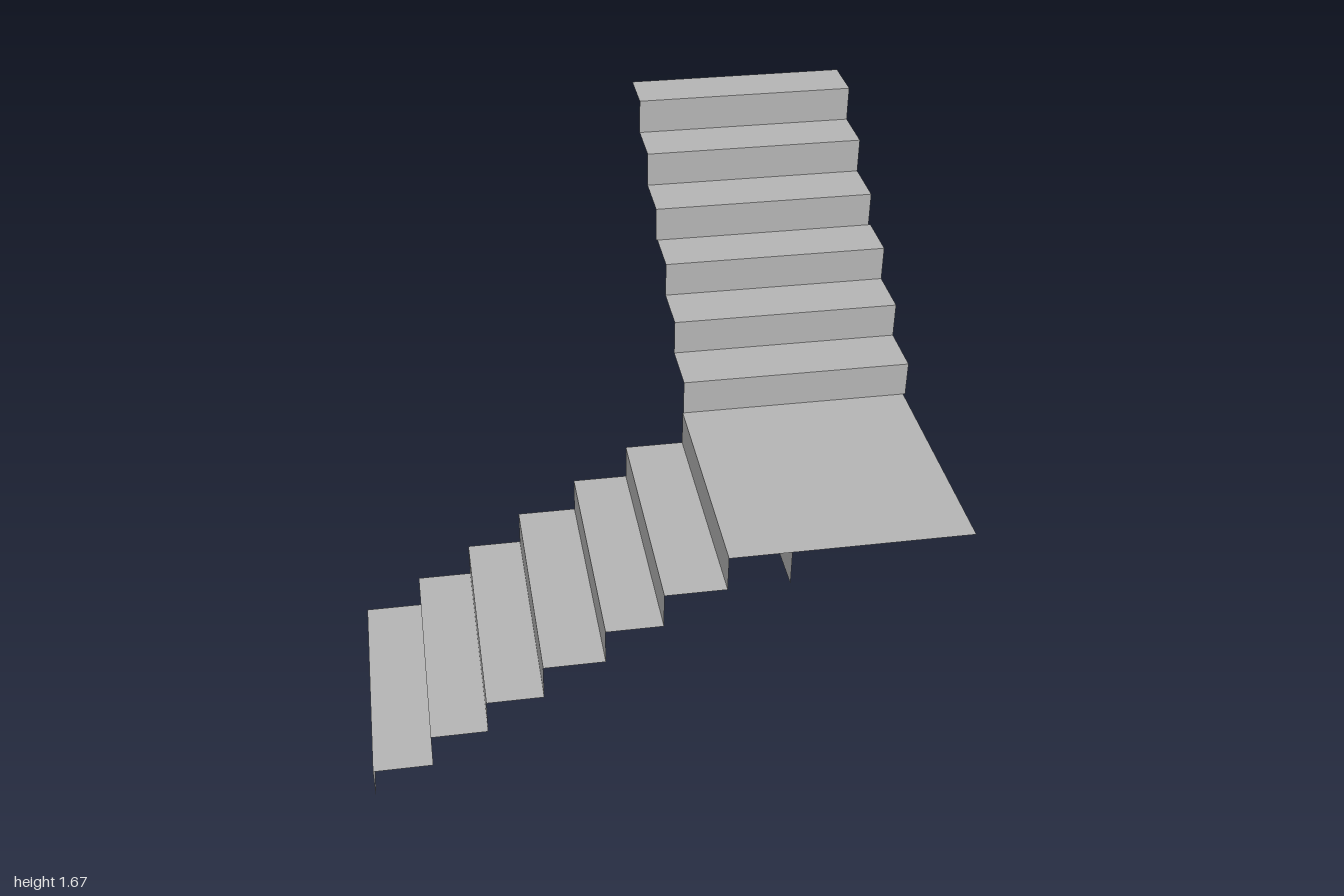
import * as THREE from 'three';

// Open sheet-metal style stair: lower flight along +x, landing, upper flight along -z
export function createModel() {
  const stair = new THREE.Group();
  stair.name = 'cornerStaircase';
  const grey = new THREE.MeshStandardMaterial({ color: 0xb4b4b4, side: THREE.DoubleSide });
  grey.name = 'grey';

  const add = (name, geometry, x, y, z) => {
    const mesh = new THREE.Mesh(geometry, grey);
    mesh.name = name;
    mesh.position.set(x, y, z);
    stair.add(mesh);
  };
  // Horizontal sheet facing up
  const tread = (name, x0, x1, z0, z1, y) =>
    add(name, new THREE.PlaneGeometry(x1 - x0, z1 - z0).rotateX(-Math.PI / 2), (x0 + x1) / 2, y, (z0 + z1) / 2);
  // Vertical sheet facing -x
  const riserX = (name, x, z0, z1, y0, y1) =>
    add(name, new THREE.PlaneGeometry(z1 - z0, y1 - y0).rotateY(-Math.PI / 2), x, (y0 + y1) / 2, (z0 + z1) / 2);
  // Vertical sheet facing +z
  const riserZ = (name, z, x0, x1, y0, y1) =>
    add(name, new THREE.PlaneGeometry(x1 - x0, y1 - y0), (x0 + x1) / 2, (y0 + y1) / 2, z);

  const rise = 0.1283;
  const zBack = 0.168, zFront = 0.987;
  const landingY = 7 * rise;

  // Lower flight: seven risers, six treads
  const xs = [-1, -0.8, -0.61, -0.42, -0.215, -0.025, 0.18];
  xs.forEach((x, i) => {
    riserX('lowerRiser', x, zBack, zFront, i * rise, (i + 1) * rise);
    if (i < 6) tread('lowerTread', x, xs[i + 1], zBack, zFront, (i + 1) * rise);
  });

  // Landing, with a spare riser hanging beneath it
  tread('landing', 0.18, 0.99, zBack, zFront, landingY);
  riserX('landingSupport', 0.385, zBack, zFront, 6 * rise, landingY);

  // Upper flight: the top three steps sit slightly to one side
  const zs = [zBack, -0.03, -0.225, -0.412, -0.61, -0.802, -0.987];
  for (let i = 0; i < 6; i++) {
    const x0 = i < 3 ? 0.182 : 0.176, x1 = i < 3 ? 0.998 : 0.99;
    const y = landingY + i * rise;
    riserZ('upperRiser', zs[i], x0, x1, y, y + rise);
    tread('upperTread', x0, x1, zs[i + 1], zs[i], y + rise);
  }
  return stair;
}
